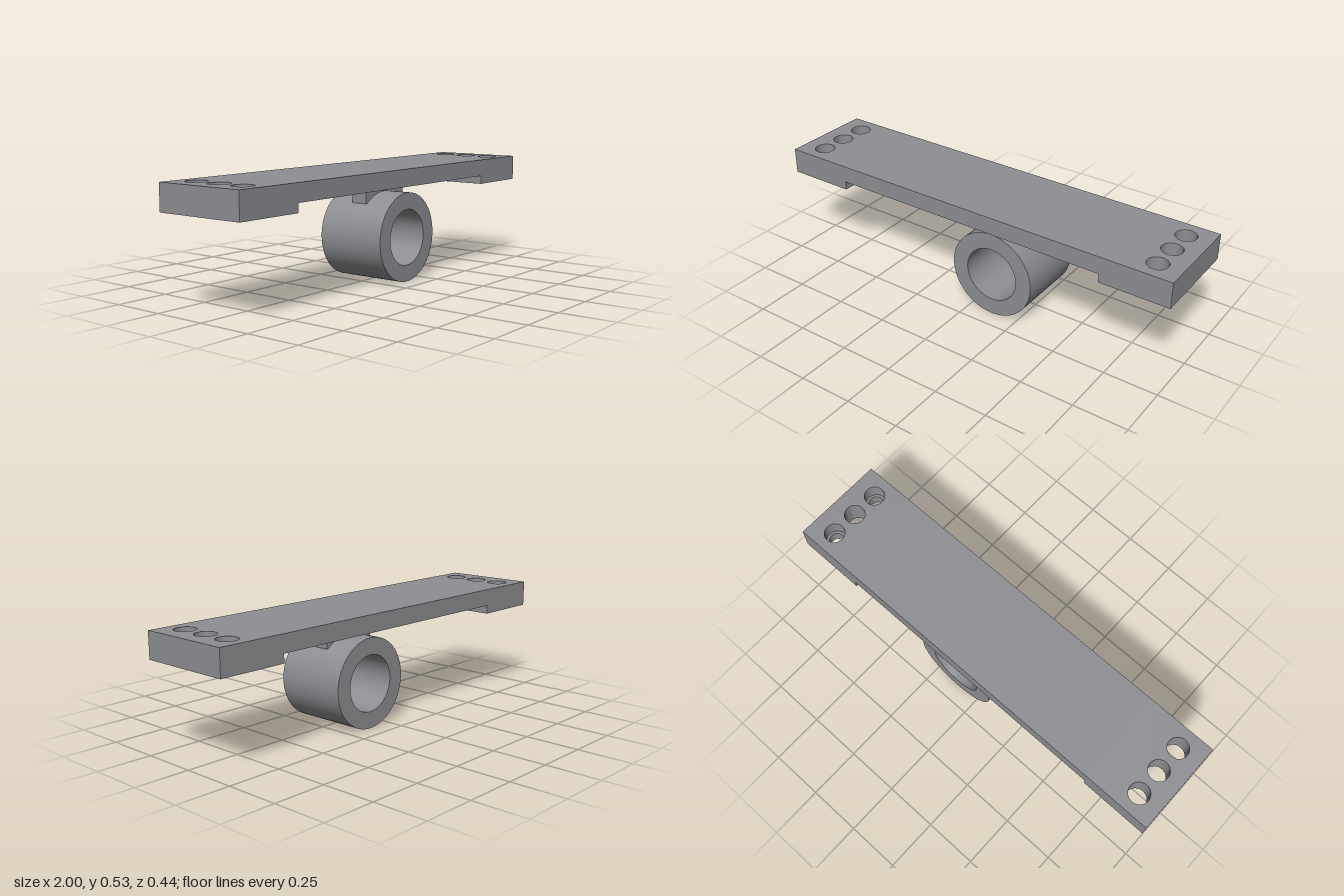
import * as THREE from 'three';
import { toCreasedNormals } from 'three/addons/utils/BufferGeometryUtils.js';

const grey = new THREE.MeshStandardMaterial({ color: 0x8e8f93 });
grey.name = 'machined grey';

const HOLE_X = 0.888, HOLE_STEP = 0.128, HOLE_R = 0.047;

function circle(Type, x, y, r) {
  const path = new Type();
  path.absarc(x, y, r, 0, Math.PI * 2, false);
  return path;
}

function extrude(shape, depth) {
  const geo = new THREE.ExtrudeGeometry(shape, { depth, bevelEnabled: false, curveSegments: 32 });
  return toCreasedNormals(geo, 0.6);
}

function add(parent, name, geo, x = 0, y = 0, z = 0) {
  const mesh = new THREE.Mesh(geo, grey);
  mesh.name = name;
  mesh.position.set(x, y, z);
  parent.add(mesh);
  return mesh;
}

export function createModel() {
  const model = new THREE.Group();
  model.name = 'mountingBar';

  // Thin middle of the bar
  add(model, 'barMiddle', new THREE.BoxGeometry(1.36, 0.08, 0.44), 0, 0.49, 0);

  // Thick ends, each drilled with a row of three holes
  for (const [side, name] of [[-1, 'rightEnd'], [1, 'leftEnd']]) {
    const a = side * 0.68, b = side;
    const lo = Math.min(a, b), hi = Math.max(a, b);
    const shape = new THREE.Shape();
    shape.moveTo(lo, -0.22).lineTo(hi, -0.22).lineTo(hi, 0.22).lineTo(lo, 0.22).closePath();
    for (const i of [-1, 0, 1]) {
      shape.holes.push(circle(THREE.Path, side * HOLE_X, i * HOLE_STEP, HOLE_R));
    }
    const geo = extrude(shape, 0.12);
    geo.rotateX(-Math.PI / 2);
    add(model, name, geo, 0, 0.41, 0);
  }

  // Stepped lips that narrow the two outer holes of the left end
  for (const i of [-1, 1]) {
    const lip = circle(THREE.Shape, 0, 0, HOLE_R);
    lip.holes.push(circle(THREE.Path, 0, 0, 0.035));
    const geo = extrude(lip, 0.05);
    geo.rotateX(-Math.PI / 2);
    add(model, 'holeLip', geo, HOLE_X, 0.41, i * HOLE_STEP);
  }

  // Bushing below the bar, with its bore along z
  const ring = circle(THREE.Shape, 0, 0, 0.207);
  ring.holes.push(circle(THREE.Path, 0, 0, 0.13));
  add(model, 'bushing', extrude(ring, 0.34), 0.12, 0.207, -0.17);

  // Key block on top of the bushing
  add(model, 'key', new THREE.BoxGeometry(0.28, 0.065, 0.08), 0.12, 0.3975, 0);

  return model;
}
